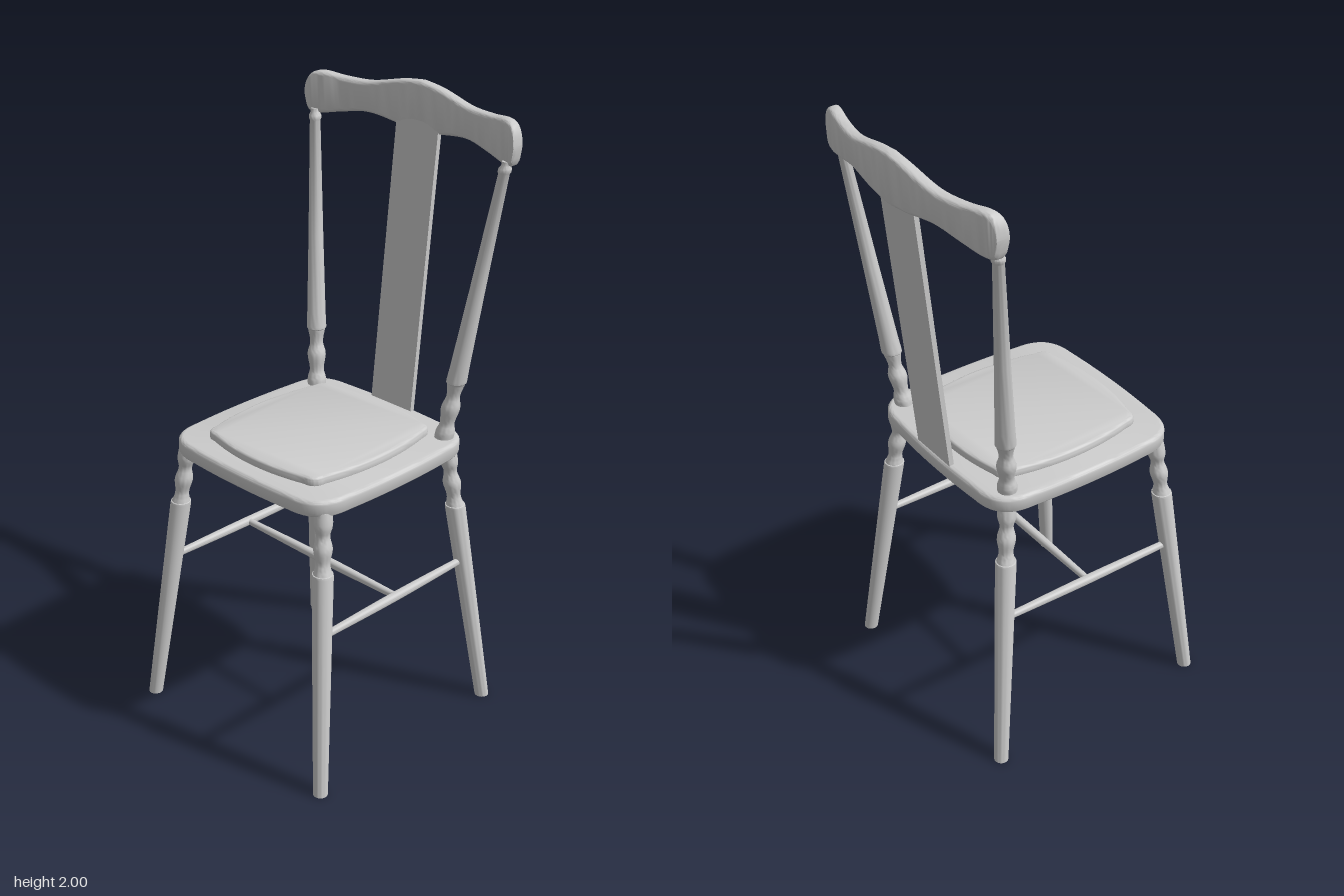
import * as THREE from 'three';
import { toCreasedNormals } from 'three/addons/utils/BufferGeometryUtils.js';

const material = new THREE.MeshStandardMaterial({ color: 0xcccccc });
const v2 = (x, y) => new THREE.Vector2(x, y);
const v3 = (x, y, z) => new THREE.Vector3(x, y, z);

function mesh(name, geometry, crease = 0.6) {
  const m = new THREE.Mesh(toCreasedNormals(geometry, crease), material);
  m.name = name;
  return m;
}

// Slab with rounded corners, bowed sides and softened edges, lying on y = y0.
function slab(name, hx, hz, bow, r, y0, height, bevel) {
  const x = hx - bow, z = hz - bow, s = new THREE.Shape();
  s.moveTo(-x + r, -z);
  s.quadraticCurveTo(0, -z - 2 * bow, x - r, -z);
  s.quadraticCurveTo(x, -z, x, -z + r);
  s.quadraticCurveTo(x + 2 * bow, 0, x, z - r);
  s.quadraticCurveTo(x, z, x - r, z);
  s.quadraticCurveTo(0, z + 2 * bow, -x + r, z);
  s.quadraticCurveTo(-x, z, -x, z - r);
  s.quadraticCurveTo(-x - 2 * bow, 0, -x, -z + r);
  s.quadraticCurveTo(-x, -z, -x + r, -z);
  const g = new THREE.ExtrudeGeometry(s, {
    depth: height - 2 * bevel, bevelThickness: bevel, bevelSize: bevel,
    bevelOffset: -bevel, bevelSegments: 4, curveSegments: 14,
  });
  g.rotateX(-Math.PI / 2).translate(0, y0 + bevel, 0.02);
  return mesh(name, g);
}

// Turned spindle leaning from point a to point b, kept level at both ends.
function turned(name, profile, a, b) {
  const h = b.y - a.y;
  const pts = [v2(0, a.y), ...profile, v2(0, b.y)];
  const g = new THREE.LatheGeometry(pts, 24).translate(0, -a.y, 0);
  const kx = (b.x - a.x) / h, kz = (b.z - a.z) / h;
  g.applyMatrix4(new THREE.Matrix4().set(
    1, kx, 0, a.x, 0, 1, 0, a.y, 0, kz, 1, a.z, 0, 0, 0, 1));
  return mesh(name, g);
}

const smooth = (pairs, n) =>
  new THREE.SplineCurve(pairs.map(([r, y]) => v2(r, y))).getPoints(n);

// Slim rod, a little thicker in the middle.
function rod(name, a, b) {
  const d = b.clone().sub(a), h = d.length();
  const prof = [v2(0, 0), ...smooth([[0.011, 0], [0.015, h / 2], [0.011, h]], 10), v2(0, h)];
  const m = mesh(name, new THREE.LatheGeometry(prof, 16));
  m.position.copy(a);
  m.quaternion.setFromUnitVectors(v3(0, 1, 0), d.normalize());
  return m;
}

// Curved top rail: rounded sections lofted along a backward arc.
function crestRail() {
  const half = new THREE.SplineCurve([
    [0, 2], [0.08, 1.99], [0.2, 1.964], [0.3, 1.963], [0.37, 1.97], [0.405, 1.963], [0.422, 1.94], [0.427, 1.915],
  ].map(([x, y]) => v2(x, y))).getPoints(48);
  const low = new THREE.SplineCurve([
    [0, 1.843], [0.08, 1.85], [0.2, 1.865], [0.3, 1.85], [0.37, 1.836], [0.412, 1.838], [0.422, 1.86], [0.427, 1.885],
  ].map(([x, y]) => v2(x, y))).getPoints(48);
  const heightAt = (pts, x) => {
    let i = 1;
    while (i < pts.length - 1 && pts[i].x < x) i++;
    const p = pts[i - 1], q = pts[i];
    return p.y + (q.y - p.y) * Math.min(1, Math.max(0, (x - p.x) / (q.x - p.x || 1)));
  };
  const N = 64, M = 24, pos = [], idx = [];
  for (let i = 0; i <= N; i++) {
    const x = 0.427 * Math.sin((i / N - 0.5) * Math.PI), ax = Math.abs(x);
    const top = heightAt(half, ax), bottom = heightAt(low, ax);
    const hy = (top - bottom) / 2, hz = 0.021, r = Math.min(0.014, hy);
    const zc = -0.424 + 0.064 * (x / 0.427) ** 2;
    for (let j = 0; j < M; j++) {
      const q = Math.floor(j / 6), a = (q + (j % 6) / 5) * Math.PI / 2;
      const sz = q === 0 || q === 3 ? 1 : -1, sy = q < 2 ? 1 : -1;
      pos.push(x, (top + bottom) / 2 + sy * (hy - r) + r * Math.sin(a),
        zc + sz * (hz - r) + r * Math.cos(a));
    }
  }
  for (let i = 0; i < N; i++) for (let j = 0; j < M; j++) {
    const a = i * M + j, b = i * M + (j + 1) % M;
    idx.push(a, a + M, b, b, a + M, b + M);
  }
  for (let j = 1; j < M - 1; j++) {
    idx.push(0, j, j + 1, N * M, N * M + j + 1, N * M + j);
  }
  const g = new THREE.BufferGeometry();
  g.setAttribute('position', new THREE.Float32BufferAttribute(pos, 3));
  g.setIndex(idx);
  return mesh('crestRail', g);
}

export function createModel() {
  const chair = new THREE.Group();
  chair.name = 'chair';

  // Seat and raised panel
  chair.add(slab('seat', 0.35, 0.35, 0.008, 0.13, 0.905, 0.055, 0.014));
  chair.add(slab('seatPanel', 0.269, 0.287, 0.027, 0.045, 0.95, 0.036, 0.012));

  // Turned profiles
  const legProfile = [v2(0.023, 0), v2(0.033, 0.715), v2(0.032, 0.722),
    ...smooth([[0.029, 0.723], [0.022, 0.755], [0.029, 0.8], [0.021, 0.84], [0.029, 0.875], [0.027, 0.92]], 24)];
  const postProfile = [
    ...smooth([[0.03, 0.95], [0.03, 0.98], [0.023, 1.01], [0.03, 1.06], [0.021, 1.1], [0.029, 1.145]], 24),
    v2(0.032, 1.148), v2(0.032, 1.156), v2(0.03, 1.2), v2(0.024, 1.45), v2(0.017, 1.812),
    v2(0.02, 1.818), v2(0.02, 1.828), v2(0.014, 1.838), v2(0.014, 1.85)];

  // Legs, back posts and side stretchers
  for (const [side, s] of [['left', 1], ['right', -1]]) {
    chair.add(turned(side + 'FrontLeg', legProfile, v3(s * 0.392, 0, 0.405), v3(s * 0.3, 0.92, 0.3)));
    chair.add(turned(side + 'BackLeg', legProfile, v3(s * 0.392, 0, -0.355), v3(s * 0.29, 0.92, -0.255)));
    chair.add(turned(side + 'BackPost', postProfile, v3(s * 0.28, 0.95, -0.247), v3(s * 0.394, 1.85, -0.354)));
    chair.add(rod(side + 'Stretcher', v3(s * 0.34, 0.52, 0.345), v3(s * 0.334, 0.52, -0.298)));
  }
  chair.add(rod('crossStretcher', v3(-0.337, 0.52, 0.02), v3(0.337, 0.52, 0.02)));

  // Back splat
  const splat = new THREE.BoxGeometry(0.172, 0.93, 0.016);
  splat.applyMatrix4(new THREE.Matrix4().makeShear(0, 0, 0, -0.105, 0, 0));
  splat.translate(0, 1.415, -0.362);
  chair.add(mesh('backSplat', splat));

  chair.add(crestRail());

  // Whole chair stands turned very slightly
  chair.rotation.y = -0.045;
  chair.position.x = -0.007;
  const root = new THREE.Group();
  root.name = 'model';
  root.add(chair);
  return root;
}
